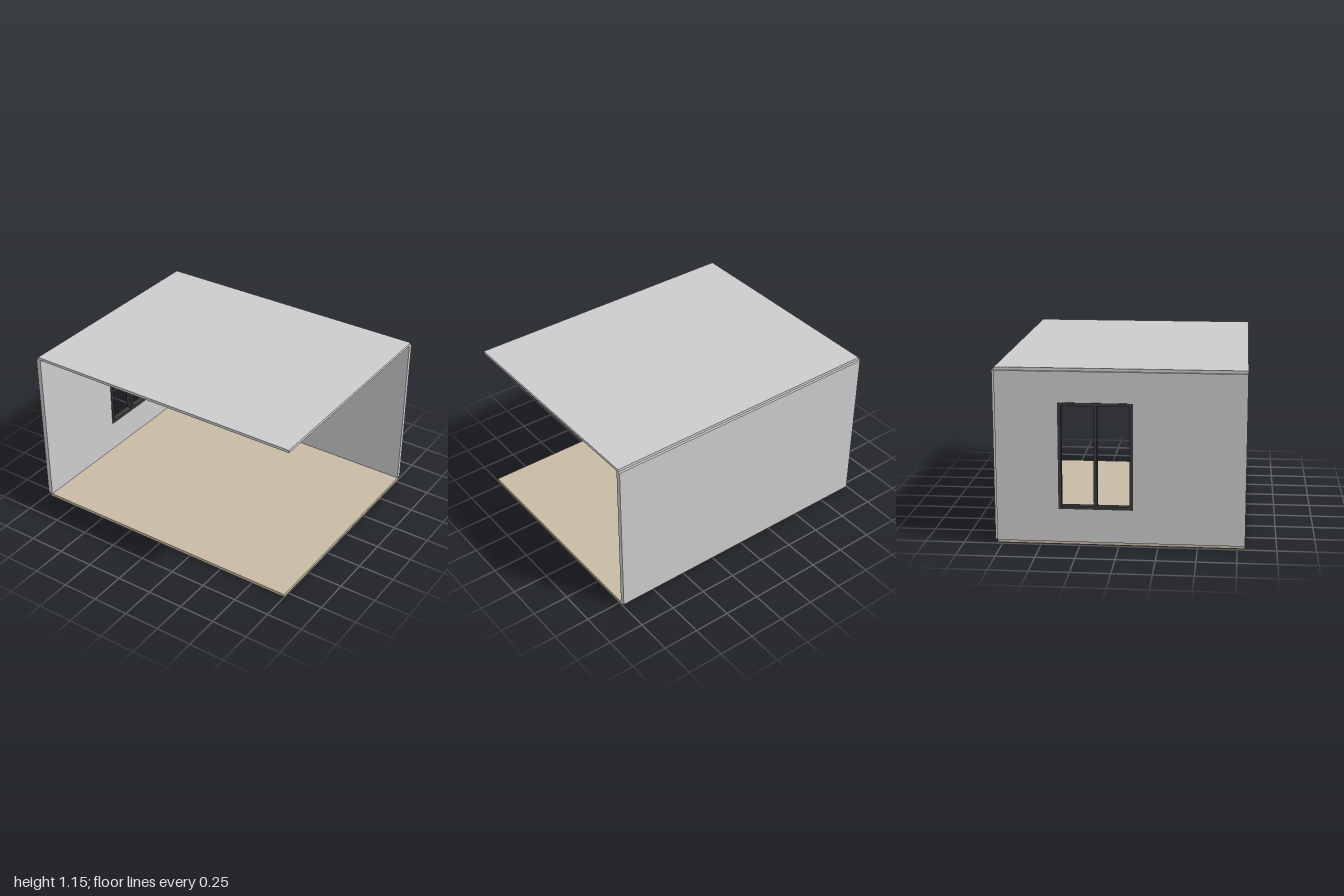
import * as THREE from 'three';

export function createModel() {
  const room = new THREE.Group();
  room.name = 'openRoom';

  const mat = (name, color) => Object.assign(new THREE.MeshStandardMaterial({ color }), { name });
  const plaster = mat('plasterGrey', 0xcccccc);
  const wood = mat('floorTan', 0xc8baa5);
  const metal = mat('frameDark', 0x3a3a3a);

  // Box given by its limits on each axis
  function slab(name, material, [x0, x1], [y0, y1], [z0, z1], parent = room) {
    const mesh = new THREE.Mesh(new THREE.BoxGeometry(x1 - x0, y1 - y0, z1 - z0), material);
    mesh.position.set((x0 + x1) / 2, (y0 + y1) / 2, (z0 + z1) / 2);
    mesh.name = name;
    parent.add(mesh);
  }

  const floorTop = 0.021, ceilingBottom = 1.128, ceilingTop = 1.147;
  const edgeX = -0.978, edgeZ = -0.783;

  // Floor, ceiling and back wall
  slab('floor', wood, [edgeX, 1], [0, floorTop], [edgeZ, 0.8]);
  slab('ceiling', plaster, [edgeX, 1], [ceilingBottom, ceilingTop], [edgeZ, 0.8]);
  slab('backWall', plaster, [edgeX, 1], [floorTop, ceilingBottom], [-0.799, -0.767]);

  // Side wall with window opening, drawn in (z, y) and extruded along -x
  const rect = (Type, a0, a1, b0, b1) => new Type([
    new THREE.Vector2(a0, b0), new THREE.Vector2(a1, b0),
    new THREE.Vector2(a1, b1), new THREE.Vector2(a0, b1),
  ]);
  const wz0 = -0.385, wz1 = 0.09, wy0 = 0.24, wy1 = 0.931, bar = 0.021;
  const wallShape = rect(THREE.Shape, -0.8, -edgeZ, floorTop, ceilingBottom);
  wallShape.holes.push(rect(THREE.Path, -wz1 + 0.005, -wz0 - 0.005, wy0 + 0.005, wy1 - 0.005));
  const wallGeometry = new THREE.ExtrudeGeometry(wallShape, { depth: 0.033, bevelEnabled: false });
  wallGeometry.rotateY(Math.PI / 2); // shape x becomes -z, depth becomes +x
  const wall = new THREE.Mesh(wallGeometry, plaster);
  wall.position.x = -0.995;
  wall.name = 'windowWall';
  room.add(wall);

  // Window frame: outer ring split into two panes by a mullion
  const middle = (wz0 + wz1) / 2, half = 0.0115;
  const frameShape = rect(THREE.Shape, -wz1, -wz0, wy0, wy1);
  for (const [z0, z1] of [[wz0 + bar, middle - half], [middle + half, wz1 - bar]]) {
    frameShape.holes.push(rect(THREE.Path, -z1, -z0, wy0 + bar, wy1 - bar));
  }
  const frameGeometry = new THREE.ExtrudeGeometry(frameShape, { depth: 0.043, bevelEnabled: false });
  frameGeometry.rotateY(Math.PI / 2);
  const frame = new THREE.Mesh(frameGeometry, metal);
  frame.position.x = -1;
  frame.name = 'windowFrame';
  room.add(frame);

  return room;
}
